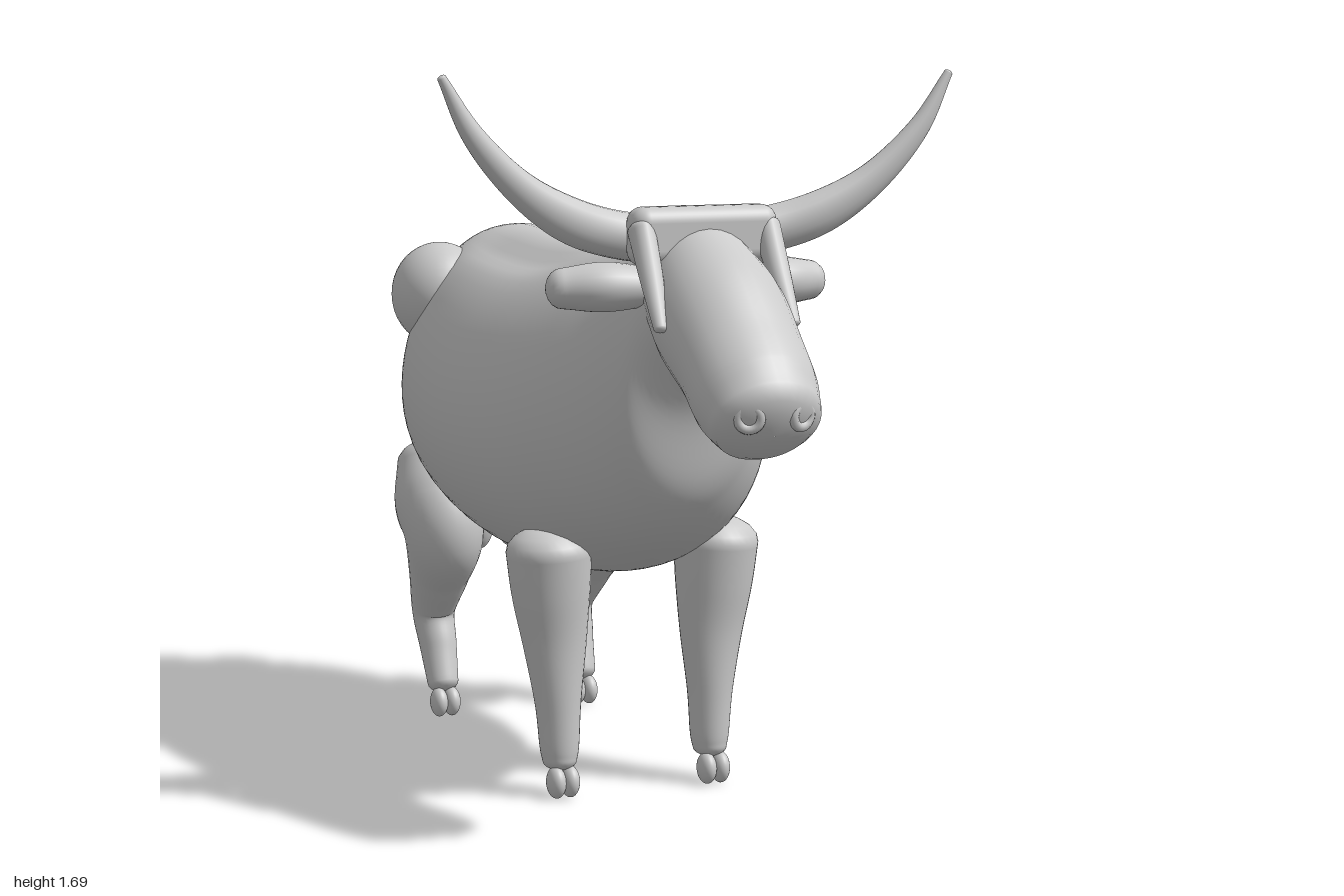
import * as THREE from 'three';
import { RoundedBoxGeometry } from 'three/addons/geometries/RoundedBoxGeometry.js';

const material = new THREE.MeshStandardMaterial({ color: 0xcccccc, roughness: 0.8 });
const Y = new THREE.Vector3(0, 1, 0), Z = new THREE.Vector3(0, 0, 1);
const ellipse = (c, s) => [c, s];

// Smooth tube with rounded ends through sections [x, y, z, side radius, other radius]
function loft(sections, { ref = Z, shape = ellipse, axis = null, cap = 0.6, steps = 40, sides = 32 } = {}) {
  const curve = (f) => new THREE.CatmullRomCurve3(sections.map(f), false, 'catmullrom', 0.5);
  const path = curve((s) => new THREE.Vector3(s[0], s[1], s[2]));
  const size = curve((s) => new THREE.Vector3(s[3], s[4], 0));
  const rings = [];
  const addRing = (t, scale, shift) => {
    const T = axis ? axis.clone() : path.getTangent(t);
    const r = size.getPoint(t);
    const p = path.getPoint(t).addScaledVector(T, shift * Math.min(r.x, r.y) * cap);
    rings.push({ p, T, a: r.x * scale, b: r.y * scale });
  };
  const capAngles = [0.99, 0.85, 0.65, 0.43, 0.2].map((k) => (k * Math.PI) / 2);
  capAngles.forEach((k) => addRing(0, Math.cos(k), -Math.sin(k)));
  for (let i = 0; i <= steps; i++) addRing(i / steps, 1, 0);
  capAngles.reverse().forEach((k) => addRing(1, Math.cos(k), Math.sin(k)));

  const pos = [], index = [];
  rings.forEach(({ p, T, a, b }, i) => {
    const u = new THREE.Vector3().crossVectors(ref, T).normalize();
    const v = new THREE.Vector3().crossVectors(T, u);
    for (let j = 0; j < sides; j++) {
      const th = (j / sides) * Math.PI * 2;
      const [x, y] = shape(Math.cos(th), Math.sin(th), p.z);
      const q = p.clone().addScaledVector(u, x * a).addScaledVector(v, y * b);
      pos.push(q.x, q.y, q.z);
      if (i === rings.length - 1) continue;
      const k = (j + 1) % sides, m = i * sides, n = m + sides;
      index.push(m + j, m + k, n + j, m + k, n + k, n + j);
    }
  });
  const g = new THREE.BufferGeometry();
  g.setAttribute('position', new THREE.Float32BufferAttribute(pos, 3));
  g.setIndex(index);
  g.computeVertexNormals();
  return g;
}

export function createModel() {
  const model = new THREE.Group();
  const add = (name, geometry, x = 0, y = 0, z = 0) => {
    const mesh = new THREE.Mesh(geometry, material);
    mesh.name = name;
    mesh.position.set(x, y, z);
    model.add(mesh);
    return mesh;
  };
  const ball = (name, x, y, z, rx, ry = rx, rz = rx) =>
    add(name, new THREE.SphereGeometry(1, 28, 20), x, y, z).scale.set(rx, ry, rz);

  // Trunk and neck: [z, top, bottom, half width], fuller below, grooved beside the spine
  const trunk = [
    [-0.93, 1.02, 0.74, 0.12], [-0.89, 1.13, 0.66, 0.18], [-0.8, 1.235, 0.6, 0.24],
    [-0.65, 1.275, 0.55, 0.305], [-0.45, 1.275, 0.515, 0.345], [-0.2, 1.27, 0.495, 0.37],
    [0, 1.275, 0.495, 0.362], [0.15, 1.285, 0.515, 0.335], [0.28, 1.298, 0.565, 0.29],
    [0.38, 1.31, 0.62, 0.24], [0.46, 1.33, 0.69, 0.195], [0.51, 1.335, 0.77, 0.165],
    [0.545, 1.335, 0.93, 0.14], [0.6, 1.325, 1.04, 0.12],
  ].map(([z, top, bottom, w]) => [0, (top + bottom) / 2, z, w, (top - bottom) / 2]);
  const trunkShape = (c, s, z) => {
    const along = Math.exp(-(((z + 0.25) / 0.32) ** 4));
    const groove = s > 0 ? 0.05 * along * Math.exp(-(((Math.abs(c) - 0.42) / 0.13) ** 2)) : 0;
    return [c * (1 - 0.13 * s), s - groove];
  };
  add('body', loft(trunk, { ref: Y, axis: Z, shape: trunkShape, cap: 0.15, steps: 90, sides: 64 }));

  // Head
  add('head', loft([
    [0, 1.23, 0.55, 0.13, 0.14], [0, 1.155, 0.68, 0.148, 0.15], [0, 1.07, 0.805, 0.142, 0.13],
    [0, 1.01, 0.875, 0.138, 0.124], [0, 0.974, 0.925, 0.125, 0.107],
  ], { ref: Y, cap: 0.5 }));
  ball('poll', 0, 1.31, 0.49, 0.11, 0.085, 0.08);
  add('browBand', new RoundedBoxGeometry(0.34, 0.13, 0.09, 5, 0.035), 0, 1.335, 0.575);

  // Tail and tuft
  add('tail', loft([
    [0, 1.1, -0.885, 0.04, 0.04], [0, 1.17, -0.918, 0.036, 0.034], [0, 1.12, -0.948, 0.03, 0.03],
    [0, 0.95, -0.962, 0.026, 0.024], [0, 0.72, -0.962, 0.024, 0.022], [0, 0.52, -0.953, 0.022, 0.02],
  ], { sides: 20 }));
  ball('tailTuft', 0, 0.47, -0.953, 0.042, 0.09, 0.045);
  ball('udder', 0, 0.47, -0.58, 0.045, 0.09, 0.05);

  for (const s of [1, -1]) {
    const mirror = (rows) => rows.map(([x, ...rest]) => [s * x, ...rest]);

    // Head details
    add('horn', loft(mirror([
      [0.03, 1.32, 0.5, 0.055, 0.055], [0.17, 1.335, 0.51, 0.053, 0.05], [0.3, 1.375, 0.54, 0.05, 0.038],
      [0.42, 1.45, 0.56, 0.037, 0.028], [0.525, 1.56, 0.573, 0.025, 0.019], [0.595, 1.682, 0.578, 0.01, 0.009],
    ]), { sides: 20 }));
    add('ear', loft(mirror([
      [0.08, 1.22, 0.52, 0.04, 0.05], [0.2, 1.222, 0.51, 0.055, 0.062], [0.295, 1.22, 0.49, 0.045, 0.045],
    ]), { sides: 24, cap: 0.8 }));
    add('browBandSide', loft(mirror([
      [0.148, 1.35, 0.59, 0.03, 0.035], [0.15, 1.25, 0.655, 0.026, 0.024], [0.155, 1.15, 0.72, 0.016, 0.014],
    ]), { sides: 20 }));
    const nostril = add('nostril', new THREE.TorusGeometry(0.024, 0.011, 10, 24), s * 0.06, 0.985, 0.975);
    nostril.rotation.set(0.1, s * 0.35, 0);

    // Rump bones
    ball('hipBone', s * 0.2, 1.1, -0.66, 0.122, 0.132, 0.138);
    ball('pinBone', s * 0.125, 1.09, -0.86, 0.08, 0.085, 0.078);
    ball('teat', s * 0.07, 0.51, -0.5, 0.03, 0.04, 0.03);

    // Legs
    add('frontLeg', loft(mirror([
      [0.21, 0.58, 0.17, 0.1, 0.103], [0.205, 0.48, 0.17, 0.092, 0.09], [0.197, 0.36, 0.173, 0.075, 0.07],
      [0.192, 0.22, 0.18, 0.054, 0.056], [0.19, 0.12, 0.183, 0.046, 0.05], [0.19, 0.085, 0.185, 0.04, 0.045],
    ])));
    add('hindLeg', loft(mirror([
      [0.215, 0.67, -0.69, 0.09, 0.095], [0.215, 0.58, -0.645, 0.11, 0.125], [0.21, 0.49, -0.615, 0.1, 0.12],
      [0.2, 0.38, -0.685, 0.078, 0.085], [0.193, 0.27, -0.757, 0.056, 0.064],
      [0.19, 0.18, -0.73, 0.048, 0.052], [0.19, 0.085, -0.69, 0.04, 0.04],
    ]), { steps: 50 }));

    // Cloven hooves
    for (const [name, z] of [['frontHoof', 0.208], ['hindHoof', -0.672]])
      for (const d of [-0.017, 0.017]) ball(name, s * 0.19 + d, 0.038, z, 0.022, 0.038, 0.034);
  }
  return model;
}
